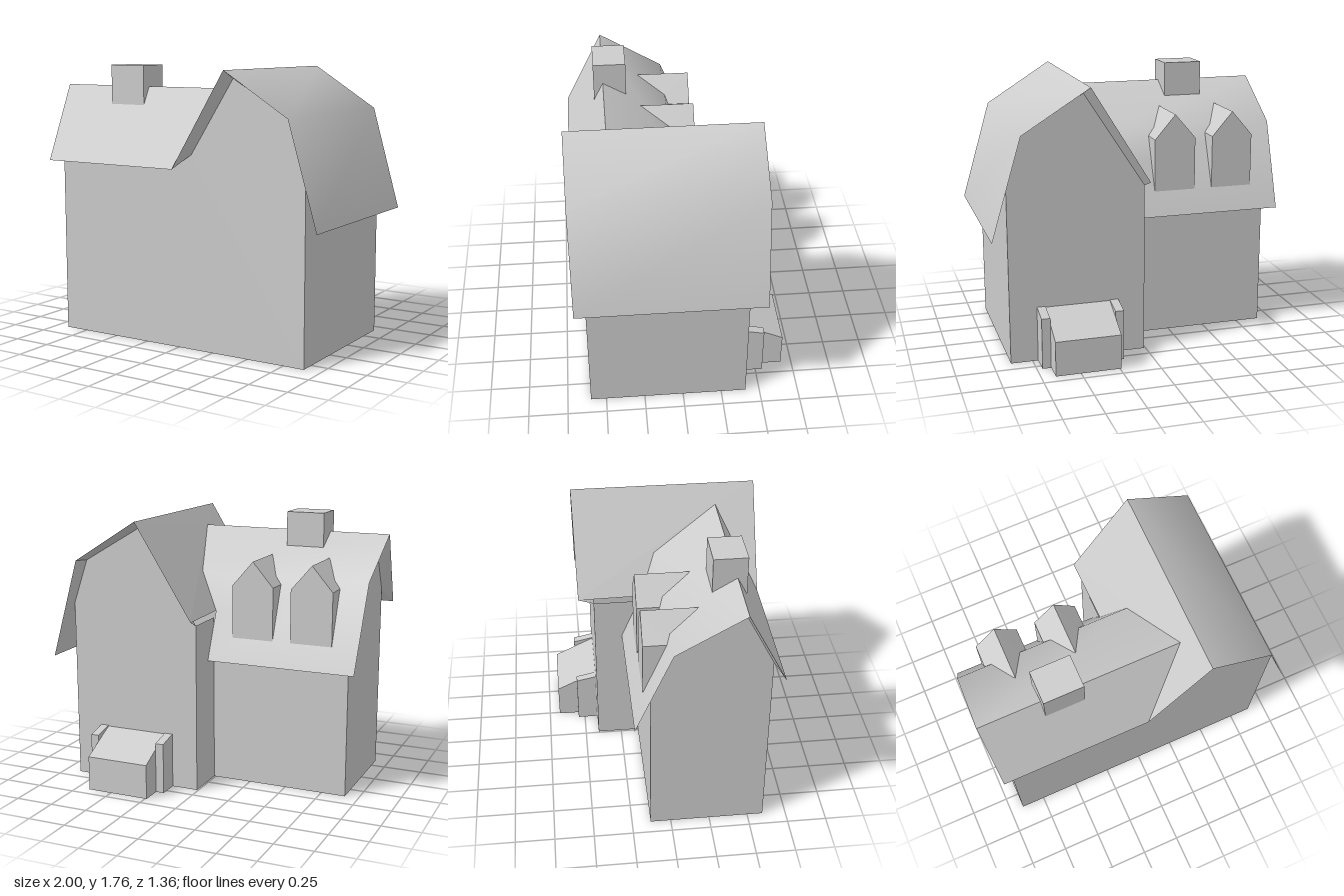
import * as THREE from 'three';
import { mergeVertices } from 'three/addons/utils/BufferGeometryUtils.js';

const plaster = new THREE.MeshStandardMaterial({ color: 0xcccccc, side: THREE.DoubleSide });
plaster.name = 'plainGrey';

// One mesh from several polygons, each a fan around its first corner.
function sheet(name, polys, smooth = false) {
  const pos = [];
  for (const p of polys)
    for (let i = 1; i < p.length - 1; i++) pos.push(...p[0], ...p[i], ...p[i + 1]);
  let geo = new THREE.BufferGeometry();
  geo.setAttribute('position', new THREE.Float32BufferAttribute(pos, 3));
  if (smooth) geo = mergeVertices(geo, 1e-4);
  geo.computeVertexNormals();
  const mesh = new THREE.Mesh(geo, plaster);
  mesh.name = name;
  return mesh;
}

// Quads bridging two matching outlines.
const bridge = (a, b) => a.slice(1).map((p, i) => [a[i], p, b[i + 1], b[i]]);

// Side profile in (z, y), extruded along x.
function profileBlock(name, pts, x0, x1) {
  const shape = new THREE.Shape(pts.map(([z, y]) => new THREE.Vector2(-z, y)));
  const geo = new THREE.ExtrudeGeometry(shape, { depth: x1 - x0, bevelEnabled: false });
  geo.rotateY(Math.PI / 2).translate(x0, 0, 0);
  const mesh = new THREE.Mesh(geo, plaster);
  mesh.name = name;
  return mesh;
}

export function createModel() {
  const house = new THREE.Group();
  house.name = 'house';

  // Roof edges: the tall wing runs along z, the low wing along x
  const tallFront = [[0, 1.14, 0.67], [0.38, 1.75, 0.68], [0.81, 1.48, 0.675], [1, 0.83, 0.67]];
  const tallBack = [[0, 1.14, -0.51], [0.38, 1.75, -0.52], [0.81, 1.48, -0.515], [1, 0.83, -0.507]];
  const lowEnd = [[-0.975, 1.14, 0.67], [-1, 1.63, 0.42], [-0.99, 1.38, 0], [-0.975, 0.83, -0.23]];
  // Valley where the two roofs meet, front to back
  const valley = [tallFront[0], [0.303, 1.63, 0.42], [0.15, 1.38, 0], [0.008, 1.14, -0.1]];
  const lowEaveIn = [0.01, 0.83, -0.23];

  // Wall tops, just under the roof
  const frontTop = [[0.1, 1.23, 0.6], [0.4, 1.7, 0.6], [0.79, 1.47, 0.6], [0.89, 1.18, 0.6]];
  const backTop = [[0.01, 1.1, -0.41], [0.4, 1.7, -0.41], [0.79, 1.47, -0.41], [0.89, 1.18, -0.41]];
  const endTop = [[-0.91, 1.23, 0.6], [-0.91, 1.58, 0.42], [-0.91, 1.35, 0.01], [-0.91, 1.03, -0.13]];
  const innerTop = [0.01, 1.03, -0.13];
  const foot = ([x, , z]) => [x, 0, z];

  // Walls, open underneath
  house.add(
    sheet('frontWall', [[frontTop[0], endTop[0], foot(endTop[0]), foot(frontTop[3]),
      frontTop[3], frontTop[2], frontTop[1]]]),
    sheet('tallWingBackWall', [[...backTop, foot(backTop[3]), foot(backTop[0])]]),
    sheet('tallWingSideWall', [[frontTop[3], foot(frontTop[3]), foot(backTop[3]), backTop[3]]]),
    sheet('innerCornerWall', [[backTop[0], foot(backTop[0]), foot(innerTop), [0.01, 1.1, -0.13]]]),
    sheet('lowWingBackWall', [[innerTop, foot(innerTop), foot(endTop[3]), endTop[3]]]),
    sheet('lowWingEndWall', [[...endTop, foot(endTop[3]), foot(endTop[0])]]),
  );

  // Tall wing roof
  house.add(
    sheet('tallRoofInnerSlope', [
      [valley[1], tallFront[1], tallFront[0]],
      [valley[2], valley[3], tallBack[0], tallBack[1], tallFront[1], valley[1]].reverse(),
    ]),
    sheet('tallRoofOuterSlope', bridge(tallFront.slice(1), tallBack.slice(1)).map(p => p.reverse()), true),
  );

  // Low wing roof
  house.add(
    sheet('lowRoofFrontSlope', [[lowEnd[0], valley[0], valley[1], lowEnd[1]]]),
    sheet('lowRoofBackSlope', [
      [lowEnd[1], valley[1], valley[2], lowEnd[2]],
      [lowEnd[2], valley[2], valley[3], lowEaveIn, lowEnd[3]],
    ], true),
  );

  // Soffits between the roof edges and the wall tops
  house.add(
    sheet('frontGableSoffit', bridge(tallFront, frontTop)),
    sheet('backGableSoffit', bridge(tallBack, backTop).map(p => p.reverse())),
    sheet('endGableSoffit', bridge(lowEnd, endTop).map(p => p.reverse())),
    sheet('eaveSoffits', [
      [lowEnd[0], endTop[0], frontTop[0], valley[0]],
      [lowEnd[3], lowEaveIn, innerTop, endTop[3]],
      [tallFront[3], frontTop[3], backTop[3], tallBack[3]],
    ]),
  );

  // Two gabled dormers on the back slope
  for (const cx of [-0.67, -0.275]) {
    const peak = [cx, 1.49, -0.165], ridgeEnd = [cx, 1.49, 0.18];
    const side = s => {
      const x = cx + s * 0.138;
      return { base: [x, 0.985, -0.165], eave: [x, 1.33, -0.165],
        hit: [x, 1.33, -0.02], bend: [cx + s * 0.095, 1.38, 0] };
    };
    const l = side(1), r = side(-1);
    const faces = [[peak, l.eave, l.base, r.base, r.eave]];
    for (const [d, flip] of [[l, false], [r, true]]) {
      const pair = [[d.base, d.eave, d.hit], [d.bend, ridgeEnd, peak, d.eave, d.hit]];
      faces.push(...pair.map(p => (flip ? p.reverse() : p)));
    }
    house.add(sheet('dormer', faces));
  }

  // Chimney
  const chimney = new THREE.Mesh(new THREE.BoxGeometry(0.255, 0.26, 0.21), plaster);
  chimney.name = 'chimney';
  chimney.position.set(-0.47, 1.635, 0.375);
  house.add(chimney);

  // Cellar hatch with a cheek wall on each side
  house.add(profileBlock('cellarHatch',
    [[-0.41, 0], [-0.68, 0], [-0.68, 0.225], [-0.41, 0.355]], 0.24, 0.66));
  for (const x of [0.185, 0.66])
    house.add(profileBlock('hatchCheek',
      [[-0.41, 0], [-0.545, 0], [-0.545, 0.33], [-0.41, 0.36]], x, x + 0.055));

  return house;
}
